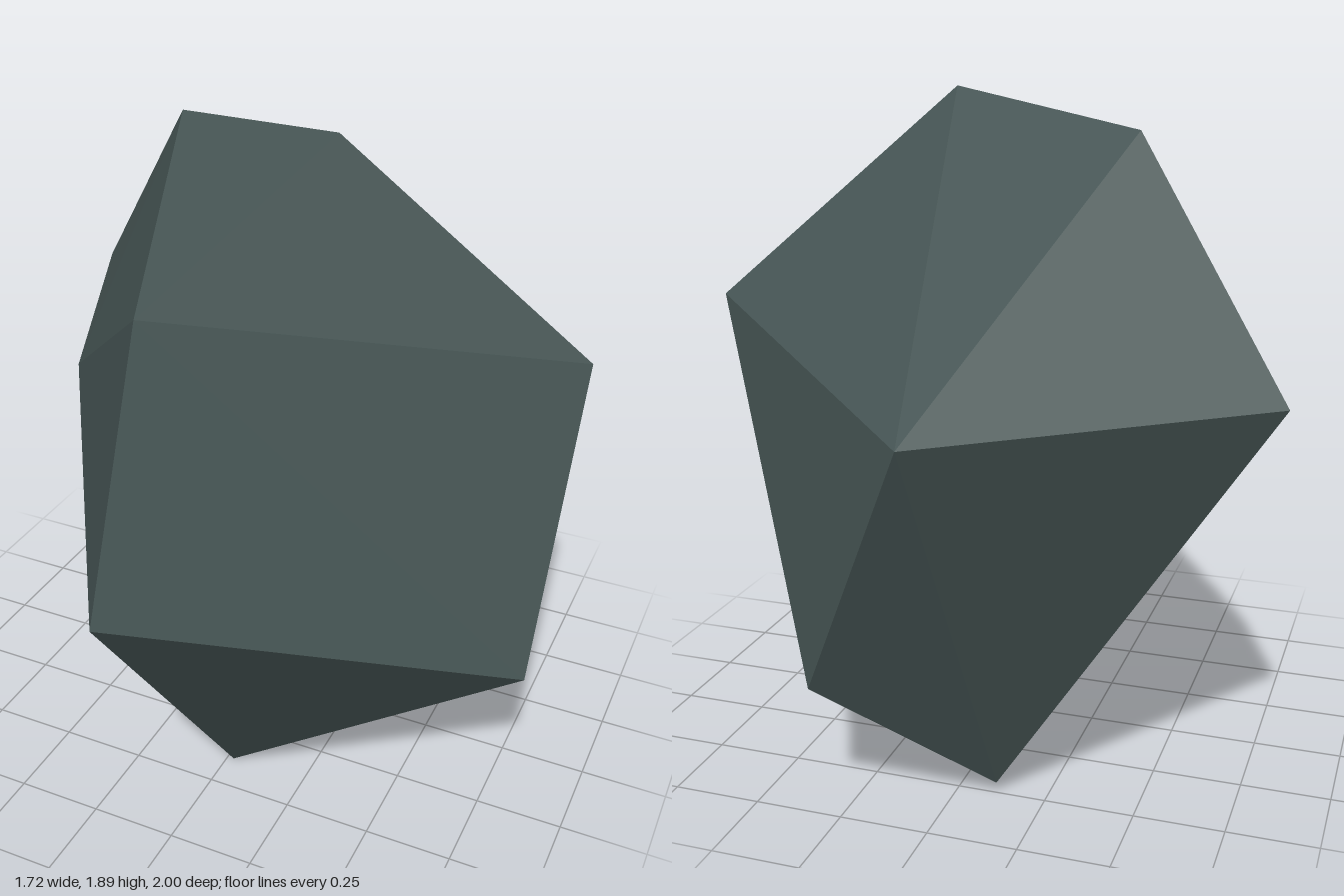
import * as THREE from 'three';
import { ConvexGeometry } from 'three/addons/geometries/ConvexGeometry.js';

// Corners of the faceted boulder
const CORNERS = [
  [-0.41, 1.80, -0.21], [0.19, 1.89, 0.06], [-0.035, 1.61, 0.74], // crown
  [-0.86, 1.17, -0.50], [-0.68, 1.03, 0.02], [-0.05, 0.885, 1.00], // waist, left to front
  [0.86, 1.285, -0.135], [0.86, 0.52, 0.29], // waist, right
  [-0.04, 1.135, -1.00], [0.31, 0.39, -0.79], // back
  [0.02, 0.00, 0.39], [-0.11, 0.03, -0.50], // foot
];

export function createModel() {
  const group = new THREE.Group();
  group.name = 'rock';
  const stone = new THREE.MeshStandardMaterial({ color: 0x465554 });
  stone.name = 'dark stone';

  // The hull has one normal per facet, so its edges stay sharp
  const points = CORNERS.map((c) => new THREE.Vector3(...c));
  const boulder = new THREE.Mesh(new ConvexGeometry(points), stone);
  boulder.name = 'boulder';
  group.add(boulder);
  return group;
}
